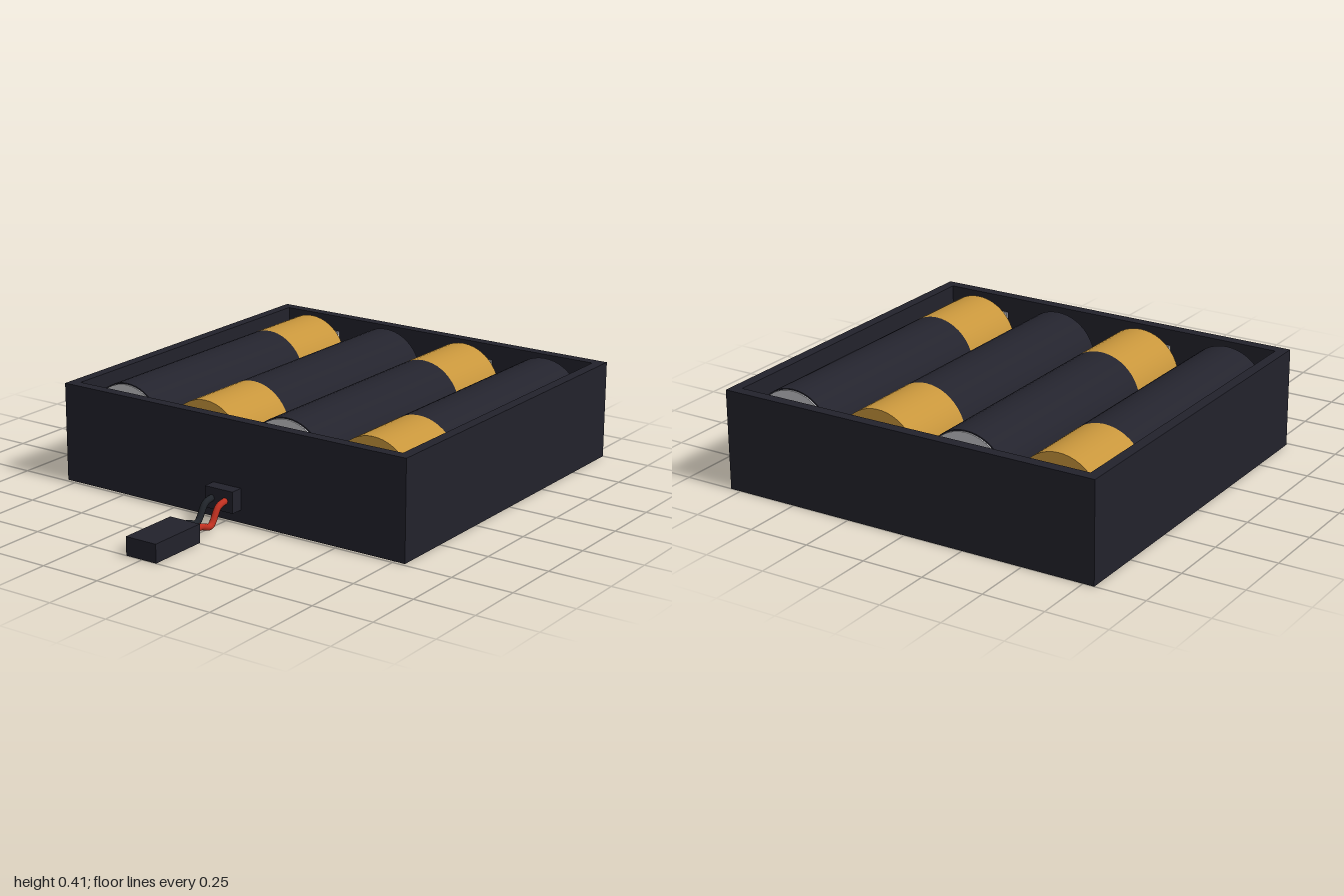
import * as THREE from 'three';

const mat = (name, color) => {
  const m = new THREE.MeshStandardMaterial({ color });
  m.name = name;
  return m;
};

export function createModel() {
  const plastic = mat('black plastic', 0x22222c);
  const wrap = mat('battery wrap', 0x24242e);
  const gold = mat('gold wrap', 0xc8963c);
  const silver = mat('silver metal', 0xc4c4c8);
  const red = mat('red wire', 0xc03020);
  const black = mat('black wire', 0x20242a);

  const model = new THREE.Group();
  model.name = 'batteryHolder';

  const add = (parent, name, geo, material, x = 0, y = 0, z = 0) => {
    const mesh = new THREE.Mesh(geo, material);
    mesh.name = name;
    mesh.position.set(x, y, z);
    parent.add(mesh);
    return mesh;
  };
  const box = (parent, name, material, x0, x1, y0, y1, z0, z1) =>
    add(parent, name, new THREE.BoxGeometry(x1 - x0, y1 - y0, z1 - z0), material,
      (x0 + x1) / 2, (y0 + y1) / 2, (z0 + z1) / 2);
  // Cylinder lying along x, from x0 to x1
  const rod = (parent, name, material, r, x0, x1, sides = 48) =>
    add(parent, name, new THREE.CylinderGeometry(r, r, x1 - x0, sides).rotateZ(-Math.PI / 2),
      material, (x0 + x1) / 2);

  // Open tray: floor and four walls
  const rect = (P, x0, x1, z) => new P([
    new THREE.Vector2(x0, -z), new THREE.Vector2(x1, -z),
    new THREE.Vector2(x1, z), new THREE.Vector2(x0, z)]);
  const outline = rect(THREE.Shape, -0.487, 1, 0.795);
  outline.holes.push(rect(THREE.Path, -0.443, 0.956, 0.752));
  const walls = new THREE.ExtrudeGeometry(outline, { depth: 0.4, bevelEnabled: false });
  add(model, 'trayWalls', walls.rotateX(-Math.PI / 2), plastic);
  box(model, 'trayFloor', plastic, -0.46, 0.97, 0, 0.045, -0.77, 0.77);

  // Low ribs between the cells
  for (const z of [-0.385, 0, 0.385]) {
    box(model, 'divider', plastic, -0.443, 0.956, 0.045, 0.2, z - 0.013, z + 0.013);
  }

  // Four cells, alternating direction, with their contacts
  for (let i = 0; i < 4; i++) {
    const cell = new THREE.Group();
    cell.name = 'battery' + (i + 1);
    cell.position.set(0.256, 0.233, -0.578 + i * 0.384);
    if (i % 2) cell.rotation.y = Math.PI;
    rod(cell, 'batteryBody', wrap, 0.175, -0.625, 0.315);
    rod(cell, 'goldBand', gold, 0.175, 0.315, 0.625);
    rod(cell, 'negativeCap', silver, 0.17, -0.631, -0.625);
    rod(cell, 'positiveNub', silver, 0.06, 0.625, 0.656, 32);
    rod(cell, 'negativeContact', silver, 0.08, -0.698, -0.631, 32);
    box(cell, 'positiveContact', silver, 0.677, 0.688, -0.105, 0.105, -0.103, 0.103);
    model.add(cell);
  }

  // Lead exit, wires and plug
  box(model, 'strainRelief', plastic, -0.54, -0.487, 0.052, 0.138, -0.068, 0.062);
  for (const [name, material, z] of [['redWire', red, 0.027], ['blackWire', black, -0.036]]) {
    const path = new THREE.CatmullRomCurve3(
      [[-0.75, 0.038], [-0.69, 0.038], [-0.63, 0.024], [-0.58, 0.086], [-0.53, 0.097]]
        .map(([x, y]) => new THREE.Vector3(x, y, z)));
    add(model, name, new THREE.TubeGeometry(path, 32, 0.013, 12), material);
  }
  box(model, 'plug', plastic, -1, -0.743, 0, 0.074, -0.073, 0.065);

  return model;
}
